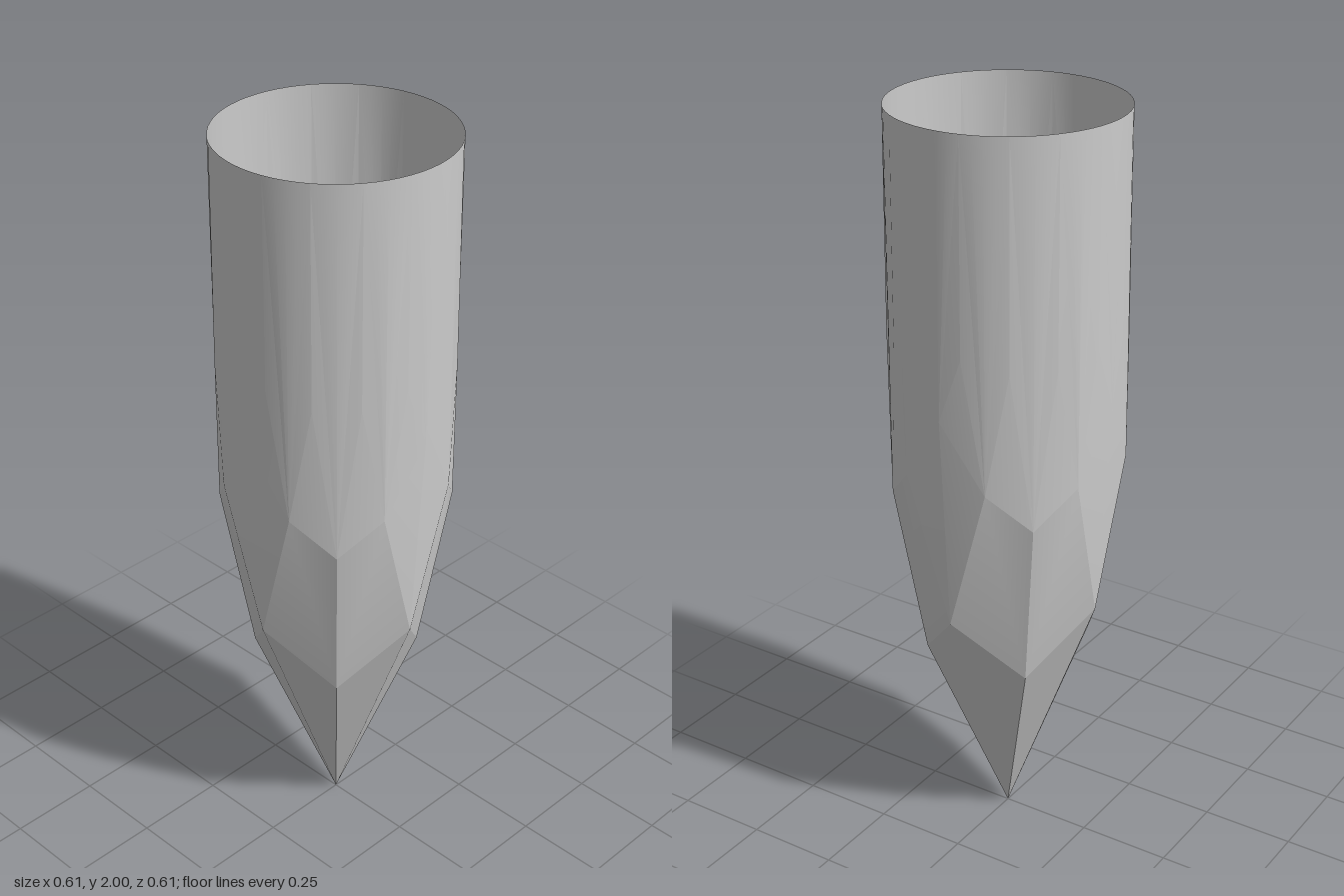
import * as THREE from 'three';
import { toCreasedNormals } from 'three/addons/utils/BufferGeometryUtils.js';

// Corners of one 45-degree sector: [angle in degrees, radius, height]
const corner = {
  tip: [0, 0, 0],
  lowEdge: [45, 0.22, 0.53],
  lowMid: [0, 0.27, 0.7],
  highEdge: [45, 0.302, 1.0],
  side: [22.5, 0.306, 1.1],
  highMid: [0, 0.306, 1.28],
  fine1: [11.25, 0.304, 1.45],
  fine2: [33.75, 0.304, 1.42],
};
const rim = Array.from({ length: 9 }, (_, i) => [i * 5.625, 0.3, 2]);

function sectorFacets() {
  const { tip, lowEdge, lowMid, highEdge, side, highMid, fine1, fine2 } = corner;
  return [
    [tip, lowEdge, lowMid],
    [lowEdge, highEdge, side, lowMid],
    [lowMid, side, highMid],
    [highMid, side, fine1],
    [side, highEdge, fine2],
    // long facets that blend into the round rim
    [highMid, fine1, rim[2], rim[1], rim[0]],
    [side, fine2, rim[6], rim[5], rim[4], rim[3], rim[2], fine1],
    [highEdge, rim[8], rim[7], rim[6], fine2],
  ];
}

export function createModel() {
  const positions = [];
  const facets = sectorFacets();

  // Four quarter turns, each a sector and its mirror image
  for (let quarter = 0; quarter < 4; quarter++) {
    for (const mirror of [1, -1]) {
      const place = ([deg, r, y]) => {
        const a = THREE.MathUtils.degToRad(quarter * 90 + mirror * deg);
        return [r * Math.sin(a), y, r * Math.cos(a)];
      };
      for (const facet of facets) {
        const p = facet.map(place);
        if (mirror < 0) p.reverse();
        // after reversing, fan from the same corner as before
        if (mirror < 0) p.unshift(p.pop());
        for (let i = 1; i < p.length - 1; i++) positions.push(...p[0], ...p[i], ...p[i + 1]);
      }
    }
  }

  const geometry = new THREE.BufferGeometry();
  geometry.setAttribute('position', new THREE.Float32BufferAttribute(positions, 3));
  const material = new THREE.MeshStandardMaterial({ color: 0xcccccc, side: THREE.DoubleSide });

  // Open-topped stake with a carved point
  const stake = new THREE.Mesh(toCreasedNormals(geometry, 0.19), material);
  stake.name = 'sharpenedStake';

  const group = new THREE.Group();
  group.name = 'stake';
  group.add(stake);
  return group;
}
